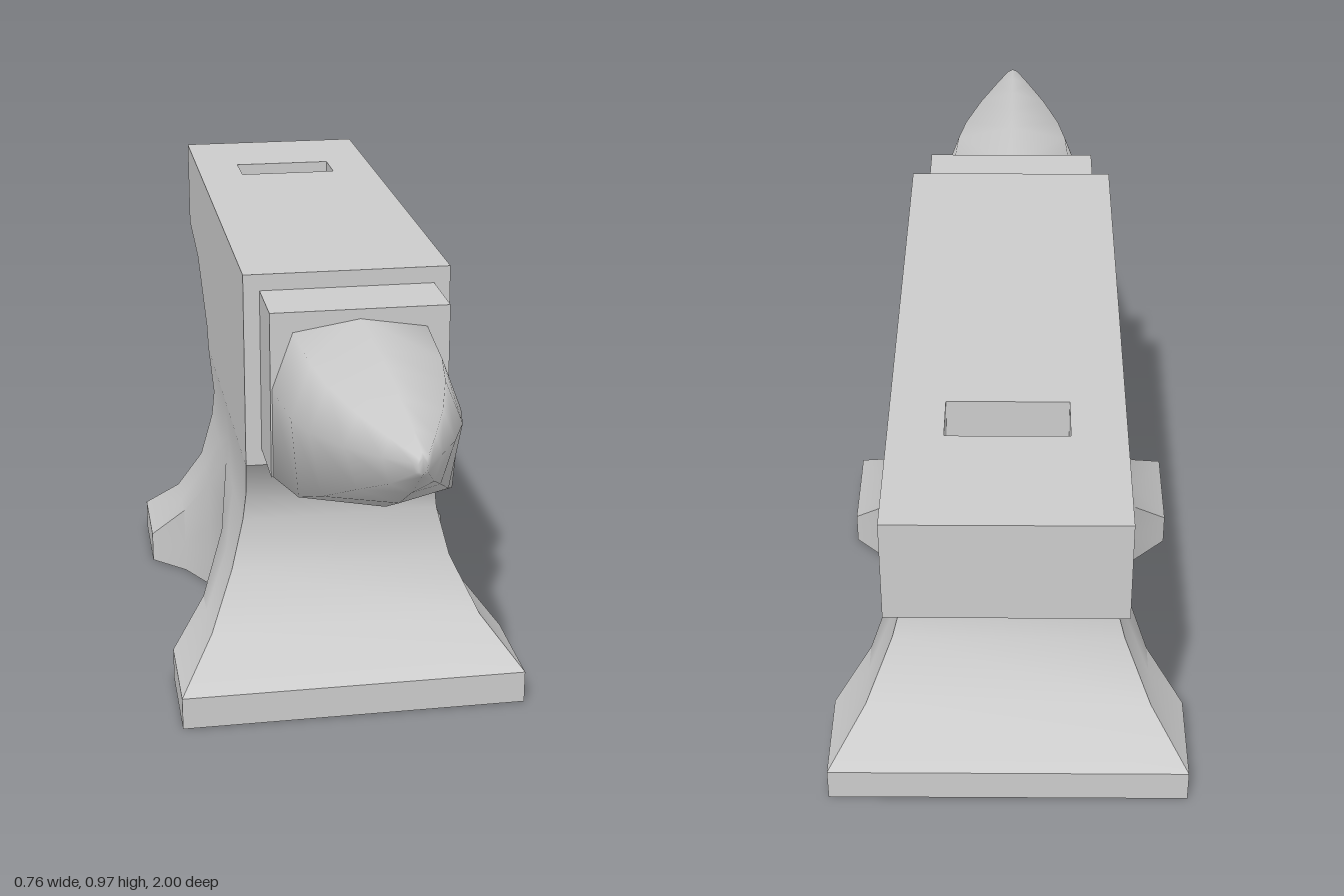
import * as THREE from 'three';
import { toCreasedNormals } from 'three/addons/utils/BufferGeometryUtils.js';

const HALF = 0.217; // half width of the body

// Skin a stack of equal-sized closed rings; splitAC picks each quad's diagonal
function loft(rings, splitAC, cap = []) {
  const n = rings[0].length, index = [];
  for (let i = 0; i < rings.length - 1; i++) {
    for (let j = 0; j < n; j++) {
      const a = i * n + j, b = i * n + (j + 1) % n, c = b + n, d = a + n;
      if (splitAC(j)) index.push(a, b, c, a, c, d);
      else index.push(a, b, d, b, c, d);
    }
  }
  index.push(...cap);
  const geo = new THREE.BufferGeometry();
  geo.setAttribute('position', new THREE.Float32BufferAttribute(rings.flat(2), 3));
  geo.setIndex(index);
  geo.computeVertexNormals();
  return geo;
}

// Flared foot with a vertical scoop cut into each side
function footGeometry() {
  // height, front z, back z, half width
  const levels = [
    [0, 0.365, -0.715, 0.378], [0.073, 0.365, -0.715, 0.378],
    [0.165, 0.25, -0.605, 0.3], [0.28, 0.172, -0.525, 0.245],
    [0.39, 0.155, -0.507, 0.217], [0.45, 0.16, -0.511, 0.21],
    [0.55, 0.235, -0.557, HALF],
  ];
  // scoop: z and half width left at that z
  const scoop = [
    [0.135, 0.378], [0.06, 0.3], [-0.04, 0.245], [-0.185, 0.217],
    [-0.33, 0.245], [-0.43, 0.3], [-0.504, 0.378],
  ];
  const rings = levels.map(([y, front, back, w]) => {
    const side = [[front, w], ...scoop.map(([z, s]) => [z, Math.min(w, s)]), [back, w]];
    return [
      ...side.map(([z, x]) => [x, y, z]),
      ...side.slice().reverse().map(([z, x]) => [-x, y, z]),
    ];
  });
  // underside
  const cap = [];
  for (let j = 0; j < 8; j++) cap.push(j, 17 - j, 16 - j, j, 16 - j, j + 1);
  return toCreasedNormals(loft(rings, (j) => j % 9 < 4, cap), 0.7);
}

// Upper body: side profile (z, y) extruded across the width
function bodyGeometry() {
  const profile = [
    [0.235, 0.55], [0.235, 0.82], [-1, 0.82], [-1, 0.762],
    [-0.785, 0.722], [-0.585, 0.6], [-0.557, 0.55],
  ];
  const shape = new THREE.Shape(profile.map(([z, y]) => new THREE.Vector2(z, y)));
  const geo = new THREE.ExtrudeGeometry(shape, { depth: HALF * 2, bevelEnabled: false });
  geo.rotateY(-Math.PI / 2).translate(HALF, 0, 0);
  return toCreasedNormals(geo, 0.7);
}

// Rectangle in plan, drawn as x and -z
function planRect(Type, x, zFront, zBack) {
  return new Type([[-x, zFront], [x, zFront], [x, zBack], [-x, zBack]]
    .map(([px, pz]) => new THREE.Vector2(px, -pz)));
}

// Face slab with the rectangular tool hole
function faceGeometry() {
  const shape = planRect(THREE.Shape, HALF, 0.235, -1);
  shape.holes.push(planRect(THREE.Path, 0.114, -0.64, -0.746));
  const geo = new THREE.ExtrudeGeometry(shape, { depth: 0.15, bevelEnabled: false });
  return geo.rotateX(-Math.PI / 2).translate(0, 0.82, 0);
}

// Tapering horn: squared at the root, round at the tip
function hornGeometry() {
  // z, half width, top, bottom
  const stations = [
    [0.385, 0.18, 0.915, 0.585], [0.57, 0.167, 0.913, 0.598], [0.67, 0.147, 0.907, 0.627],
    [0.8, 0.103, 0.894, 0.69], [0.91, 0.054, 0.879, 0.757], [0.99, 0.016, 0.866, 0.82],
    [1, 0.009, 0.86, 0.828],
  ];
  const rings = stations.map(([z, w, top, bottom], i) => {
    const h = top - bottom, t = Math.min(1, i / 3);
    const half = [
      [w * 0.76, top - h * (0.067 + 0.06 * t)],
      [w, bottom + h * 0.575],
      [w * (1 - 0.25 * t), bottom + h * 0.16 * t],
    ];
    return [
      [0, top, z], ...half.map(([x, y]) => [-x, y, z]),
      [0, bottom, z], ...half.slice().reverse().map(([x, y]) => [x, y, z]),
    ];
  });
  // tip
  const first = (rings.length - 1) * 8, cap = [];
  for (let j = 1; j < 7; j++) cap.push(first, first + j, first + j + 1);
  return loft(rings, (j) => j < 4, cap);
}

export function createModel() {
  const group = new THREE.Group();
  group.name = 'anvil';
  const material = new THREE.MeshStandardMaterial({ color: 0xcccccc });
  const add = (name, geometry) => {
    const mesh = new THREE.Mesh(geometry, material);
    mesh.name = name;
    group.add(mesh);
    return mesh;
  };

  add('foot', footGeometry());
  add('body', bodyGeometry());
  add('face', faceGeometry());
  add('step', new THREE.BoxGeometry(0.366, 0.35, 0.17)).position.set(0, 0.76, 0.305);
  add('horn', hornGeometry());
  return group;
}
